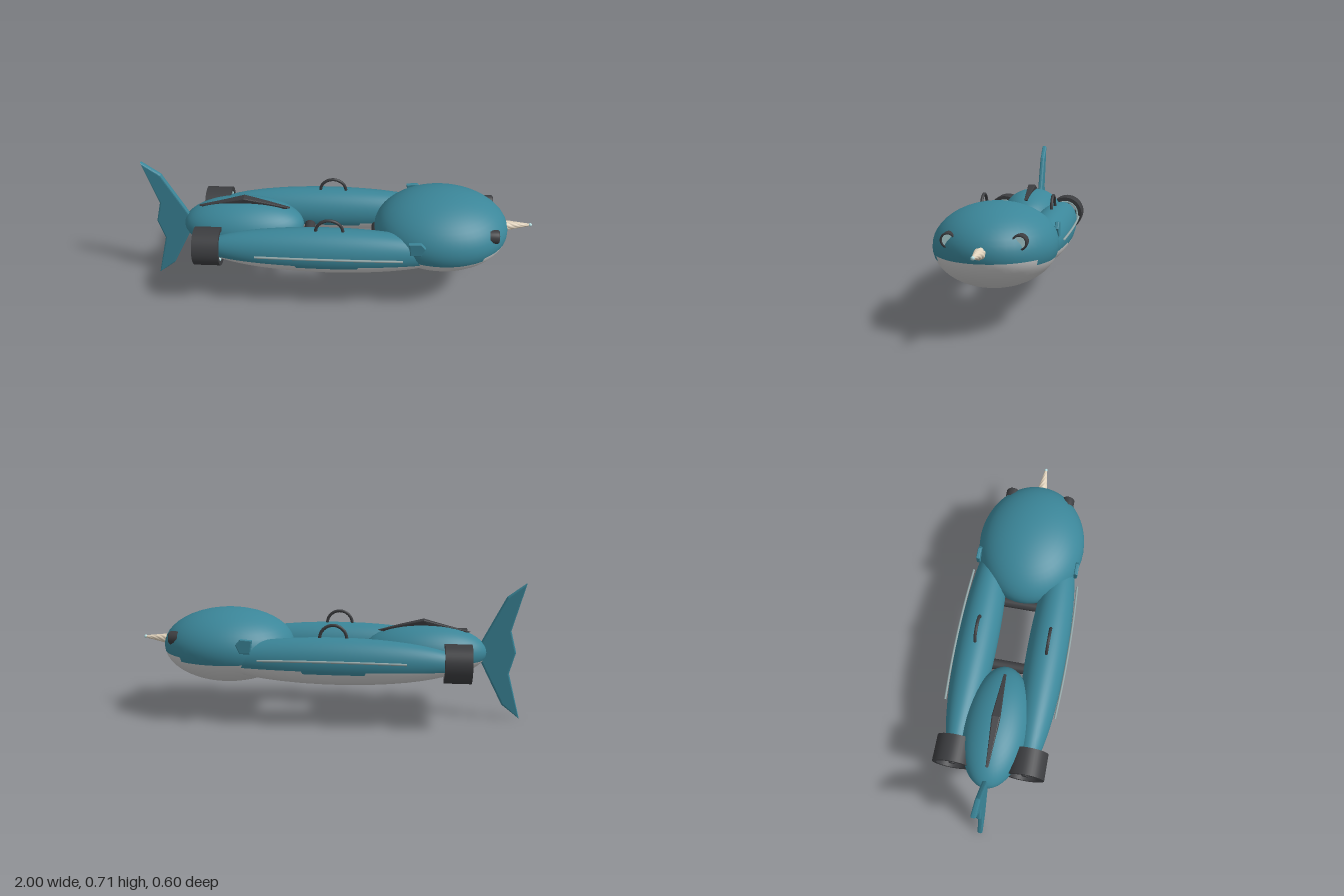
import * as THREE from 'three';

const mat = (color) => new THREE.MeshStandardMaterial({ color });
const teal = mat(0x3b8699), belly = mat(0xcccccc), dark = mat(0x3c3d40);
const glass = mat(0xb5dcdf), ivory = mat(0xe0d2bc), railGrey = mat(0x93a7a8);
dark.side = THREE.DoubleSide;

export function createModel() {
  const root = new THREE.Group();

  const add = (name, geometry, material, x = 0, y = 0, z = 0, parent = root) => {
    const mesh = new THREE.Mesh(geometry, material);
    mesh.name = name;
    mesh.position.set(x, y, z);
    parent.add(mesh);
    return mesh;
  };

  // Ellipsoid pod, teal above and pale below; rowsBelow(x) sets how far under the equator the belly starts
  const pod = (name, center, radii, rowsBelow) => {
    const cols = 48, rows = 24;
    const sphere = new THREE.SphereGeometry(1, cols, rows).scale(...radii);
    const uv = sphere.attributes.uv, index = sphere.index.array;
    const upper = [], lower = [];
    for (let i = 0; i < index.length; i += 3) {
      const tri = [index[i], index[i + 1], index[i + 2]];
      const u = tri.reduce((s, k) => s + uv.getX(k), 0) / 3;
      const v = tri.reduce((s, k) => s + uv.getY(k), 0) / 3;
      const x = -Math.cos((Math.floor(u * cols) + 0.5) / cols * Math.PI * 2);
      const row = Math.floor((1 - v) * rows);
      (row >= rows / 2 + rowsBelow(x) ? lower : upper).push(...tri);
    }
    const group = new THREE.Group();
    group.name = name;
    group.position.set(...center);
    root.add(group);
    [[upper, teal, 'Back'], [lower, belly, 'Belly']].forEach(([faces, material, suffix]) => {
      const g = sphere.clone();
      g.setIndex(faces);
      add(name + suffix, g, material, 0, 0, 0, group);
    });
  };

  // Flat plate in the xy plane with rounded rim, centred on its own z
  const plate = (points, thickness, bevel) => {
    const shape = new THREE.Shape(points.map(([x, y]) => new THREE.Vector2(x, y)));
    const depth = thickness - bevel * 2;
    return new THREE.ExtrudeGeometry(shape, {
      depth, bevelThickness: bevel, bevelSize: bevel, bevelOffset: -bevel, bevelSegments: 3,
    }).translate(0, 0, -depth / 2);
  };

  // Head and rear body
  pod('head', [0.53, 0.3675, 0], [0.345, 0.1925, 0.285], (x) => (x > 0.64 ? 1 : 2));
  pod('rearBody', [-0.5, 0.355, 0], [0.315, 0.137, 0.165], () => 2);

  // Vertical tail fluke
  add('tailFluke', plate([
    [-1, 0.715], [-0.935, 0.47], [-0.965, 0.357], [-0.935, 0.245], [-1, 0],
    [-0.905, 0.075], [-0.79, 0.3], [-0.77, 0.357], [-0.79, 0.415], [-0.905, 0.645],
  ], 0.026, 0.009), teal);

  // Dorsal crest, thickest in the middle and tapering to both ends
  const crest = plate([
    [-0.73, 0.46], [-0.6, 0.492], [-0.49, 0.521], [-0.37, 0.492], [-0.255, 0.46],
    [-0.37, 0.43], [-0.49, 0.43], [-0.6, 0.43],
  ], 0.044, 0.006);
  const cp = crest.attributes.position;
  for (let i = 0; i < cp.count; i++) {
    const t = Math.abs(cp.getX(i) + 0.49) / 0.24;
    cp.setZ(i, cp.getZ(i) * (1 - 0.7 * Math.min(t, 1)));
  }
  crest.computeVertexNormals();
  add('dorsalCrest', crest, dark);

  // Spiral horn: lobed cone twisted along its length
  const horn = new THREE.CylinderGeometry(0.006, 0.031, 0.15, 48, 32);
  const hp = horn.attributes.position;
  for (let i = 0; i < hp.count; i++) {
    const x = hp.getX(i), y = hp.getY(i), z = hp.getZ(i);
    const a = Math.atan2(z, x);
    const lobe = 0.9 + 0.12 * Math.abs(Math.cos(3 * (a + y * 28)));
    hp.setXYZ(i, x * lobe, y, z * lobe);
  }
  horn.computeVertexNormals();
  const hornMesh = add('horn', horn, ivory, 0.915, 0.389, 0);
  hornMesh.rotation.z = -Math.PI / 2 + 0.06;
  add('hornTip', new THREE.SphereGeometry(0.009, 16, 12), glass, 0.991, 0.394, 0);

  // Cross bars joining the two side hulls
  for (const x of [-0.16, 0.2]) {
    const bar = add('crossBar', new THREE.CylinderGeometry(0.028, 0.028, 0.34, 16), dark, x, 0.295, 0);
    bar.rotation.x = Math.PI / 2;
  }

  for (const s of [1, -1]) {
    const side = s > 0 ? 'left' : 'right';

    // Side hull
    pod(side + 'Hull', [-0.05, 0.335, s * 0.185], [0.64, 0.12, 0.106], (x) => (Math.abs(x) < 0.24 ? 3 : 2));

    // Side rail bowed along the hull
    const path = new THREE.CatmullRomCurve3([-0.41, -0.22, -0.04, 0.14, 0.33].map((x) =>
      new THREE.Vector3(x, 0.357 - 0.04 * (x + 0.04) ** 2, s * (0.295 - 0.08 * (x + 0.04) ** 2))));
    add(side + 'Rail', new THREE.TubeGeometry(path, 32, 0.006, 8), railGrey);

    // Grab handle
    add(side + 'Handle', new THREE.TorusGeometry(0.068, 0.008, 10, 32, Math.PI), dark, -0.04, 0.45, s * 0.185);

    // Small cheek fin
    const fin = add(side + 'CheekFin', plate([
      [0.355, 0.45], [0.415, 0.455], [0.44, 0.425], [0.42, 0.38], [0.365, 0.38],
    ], 0.02, 0.005), teal, 0, 0, s * 0.264);
    fin.rotation.x = 0;

    // Eye: dark rim with a pale lens, facing forward
    const eye = new THREE.Group();
    eye.name = side + 'Eye';
    eye.position.set(0.785, 0.426, s * 0.154);
    eye.rotation.y = Math.PI / 2;
    root.add(eye);
    const rim = [[0.026, 0.0], [0.026, 0.02], [0.03, 0.024], [0.035, 0.018], [0.035, -0.025]]
      .map(([r, h]) => new THREE.Vector2(r, h));
    add('eyeRim', new THREE.LatheGeometry(rim, 32).rotateX(Math.PI / 2), dark, 0, 0, 0, eye);
    add('eyeLens', new THREE.CylinderGeometry(0.028, 0.028, 0.03, 32).rotateX(Math.PI / 2), glass, 0, 0, 0, eye);

    // Ducted thruster: duct, pale intake ring, hub and blades
    const thruster = new THREE.Group();
    thruster.name = side + 'Thruster';
    thruster.position.set(-0.66, 0.337, s * 0.185);
    thruster.rotation.z = -Math.PI / 2;
    root.add(thruster);
    const duct = [[0.078, -0.067], [0.098, -0.067], [0.098, 0.067], [0.078, 0.067], [0.078, -0.067]];
    for (let i = 0; i < duct.length - 1; i++) {
      const wall = [duct[i], duct[i + 1]].map(([r, h]) => new THREE.Vector2(r, h));
      add('ductWall', new THREE.LatheGeometry(wall, 40), dark, 0, 0, 0, thruster);
    }
    add('intakeRing', new THREE.TorusGeometry(0.074, 0.008, 10, 40).rotateX(Math.PI / 2), glass, 0, 0.055, 0, thruster);
    add('hub', new THREE.CylinderGeometry(0.022, 0.016, 0.1, 20), dark, 0, -0.01, 0, thruster);
    for (let k = 0; k < 4; k++) {
      const blade = new THREE.BoxGeometry(0.065, 0.006, 0.03).rotateX(0.6).translate(0.045, 0, 0);
      add('blade', blade.rotateY(k * Math.PI / 2), dark, 0, -0.025, 0, thruster);
    }
  }

  return root;
}
